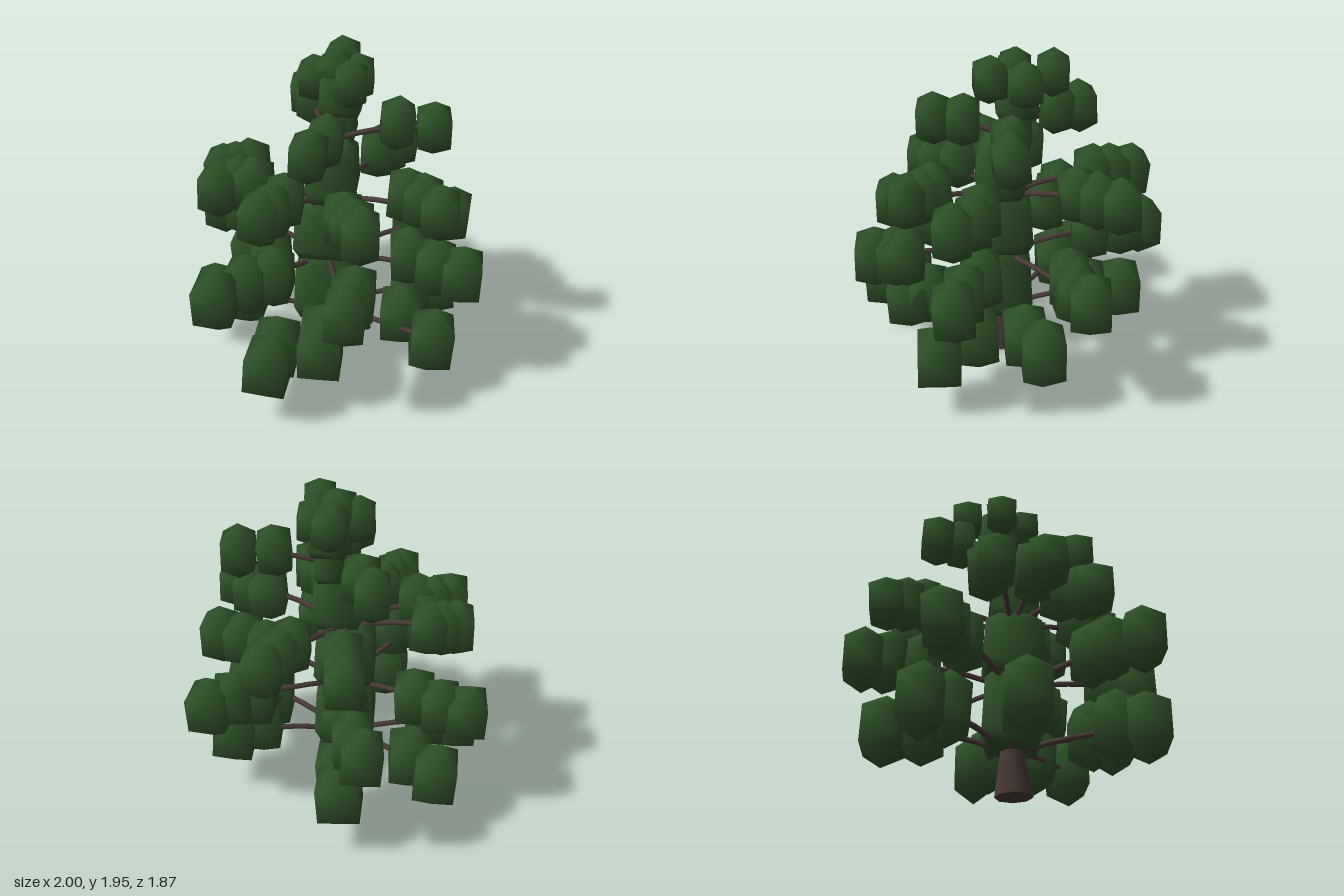
import * as THREE from 'three';

export function createModel() {
  const tree = new THREE.Group();
  tree.name = 'tree';
  const bark = new THREE.MeshStandardMaterial({ color: 0x493b36 });
  bark.name = 'bark brown';
  const leaf = new THREE.MeshStandardMaterial({ color: 0x2f5229 });
  leaf.name = 'leaf green';

  // small seeded variation between -a and a
  let seed = 7;
  const jitter = (a) => {
    seed = (seed * 16807) % 2147483647;
    return (seed / 2147483647 - 0.5) * 2 * a;
  };

  const add = (name, geo, mat) => {
    const m = new THREE.Mesh(geo, mat);
    m.name = name;
    tree.add(m);
    return m;
  };

  // tapered trunk piece between two points
  const trunkPiece = (a, b, r0, r1) => {
    const dir = b.clone().sub(a);
    const m = add('trunk', new THREE.CylinderGeometry(r1, r0, dir.length(), 8), bark);
    m.position.copy(a).addScaledVector(dir, 0.5);
    m.quaternion.setFromUnitVectors(new THREE.Vector3(0, 1, 0), dir.normalize());
  };

  // four-sided leaf clump: diamond from above, hexagon from the side
  const clumpGeo = new THREE.SphereGeometry(1, 4, 3);
  const clump = (x, y, z, w, h) => {
    const m = add('leafClump', clumpGeo, leaf);
    m.position.set(x, y, z);
    m.scale.set(w / 0.866, h, w / 0.866);
    m.rotation.set(jitter(0.08), jitter(0.1), jitter(0.08));
  };

  // trunk: flared foot, then a slim stem leaning towards the crown
  const foot = new THREE.Vector3(-0.01, 0, 0);
  const fork = new THREE.Vector3(0, 0.32, 0);
  const crownBase = new THREE.Vector3(0.1, 1.75, 0);
  trunkPiece(foot, fork, 0.108, 0.062);
  trunkPiece(fork, crownBase, 0.062, 0.015);

  // inner foliage: stacked four-sided blocks with rounded shoulders
  const profile = [[0, 0], [0.8, 0.05], [1, 0.25], [0.92, 0.78], [0.5, 0.96], [0, 1]];
  const coreGeo = new THREE.LatheGeometry(profile.map(([r, y]) => new THREE.Vector2(r, y)), 4);
  const core = (x, z, r, bottom, top) => {
    const m = add('innerFoliage', coreGeo, leaf);
    m.position.set(x, bottom, z);
    m.scale.set(r, top - bottom, r);
  };
  core(0, 0, 0.25, 0.25, 0.76);
  core(0, 0, 0.25, 0.68, 1.1);
  core(0.02, 0.04, 0.2, 1.04, 1.44);
  core(0.12, 0, 0.11, 1.38, 1.64);
  core(0.11, 0, 0.17, 1.55, 1.85);

  // one tier: each branch gives tip x, tip z, inner x, inner z;
  // clumps are spaced evenly from the tip to the inner point
  const tier = (y, w, h, count, branches) => branches.forEach(([tx, tz, ix, iz]) => {
    const tipY = y + jitter(0.015);
    for (let i = 0; i < count; i++) {
      const t = i / (count - 1);
      const side = t % 1 ? jitter(0.03) : 0;
      clump(tx + (ix - tx) * t + side, tipY + 0.015 * t, tz + (iz - tz) * t - side, w, h);
    }
    // branch bends out of the trunk, then levels off
    const curve = new THREE.CatmullRomCurve3([
      new THREE.Vector3(0.01, y - 0.1, 0),
      new THREE.Vector3(tx * 0.4, tipY - 0.03, tz * 0.4),
      new THREE.Vector3(tx * 0.9, tipY, tz * 0.9),
    ]);
    add('branch', new THREE.TubeGeometry(curve, 6, 0.017, 6), bark);
  });

  tier(0.355, 0.168, 0.22, 2, [
    [-0.68, 0.34, -0.55, 0.24], [-0.38, 0.43, -0.3, 0.34],
    [0.2, 0.73, 0.22, 0.45], [0.61, 0.32, 0.44, 0.28],
    [0.5, -0.52, 0.36, -0.36], [-0.04, -0.74, -0.03, -0.54],
    [-0.51, -0.45, -0.38, -0.32],
  ]);
  tier(0.745, 0.152, 0.2, 3, [
    [-0.85, 0.1, -0.48, 0.12], [-0.39, 0.66, -0.24, 0.56],
    [0.37, 0.77, 0.26, 0.45], [0.84, 0.21, 0.6, 0.1],
    [0.5, -0.7, 0.35, -0.4], [-0.22, -0.78, -0.09, -0.5],
  ]);
  tier(1.135, 0.142, 0.18, 3, [
    [-0.54, -0.31, -0.36, -0.22], [-0.54, 0.1, -0.33, 0.04],
    [-0.21, 0.56, -0.18, 0.38], [0.27, 0.67, 0.24, 0.42],
    [0.73, -0.17, 0.48, -0.1], [0.49, -0.56, 0.36, -0.38],
    [-0.36, -0.53, -0.22, -0.46],
  ]);
  tier(1.505, 0.13, 0.167, 2, [
    [-0.31, 0.24, -0.14, 0.17], [0.44, 0.41, 0.3, 0.26],
    [0.2, -0.44, 0.15, -0.3],
  ]);

  // crown
  const crown = (x, y, z) => clump(x, y, z, 0.122, 0.142);
  crown(0.07, 1.8, -0.02);
  crown(0.05, 1.79, 0.15);
  crown(0.24, 1.8, -0.15);
  crown(0, 1.76, -0.1);
  crown(0.2, 1.76, 0.03);

  return tree;
}
